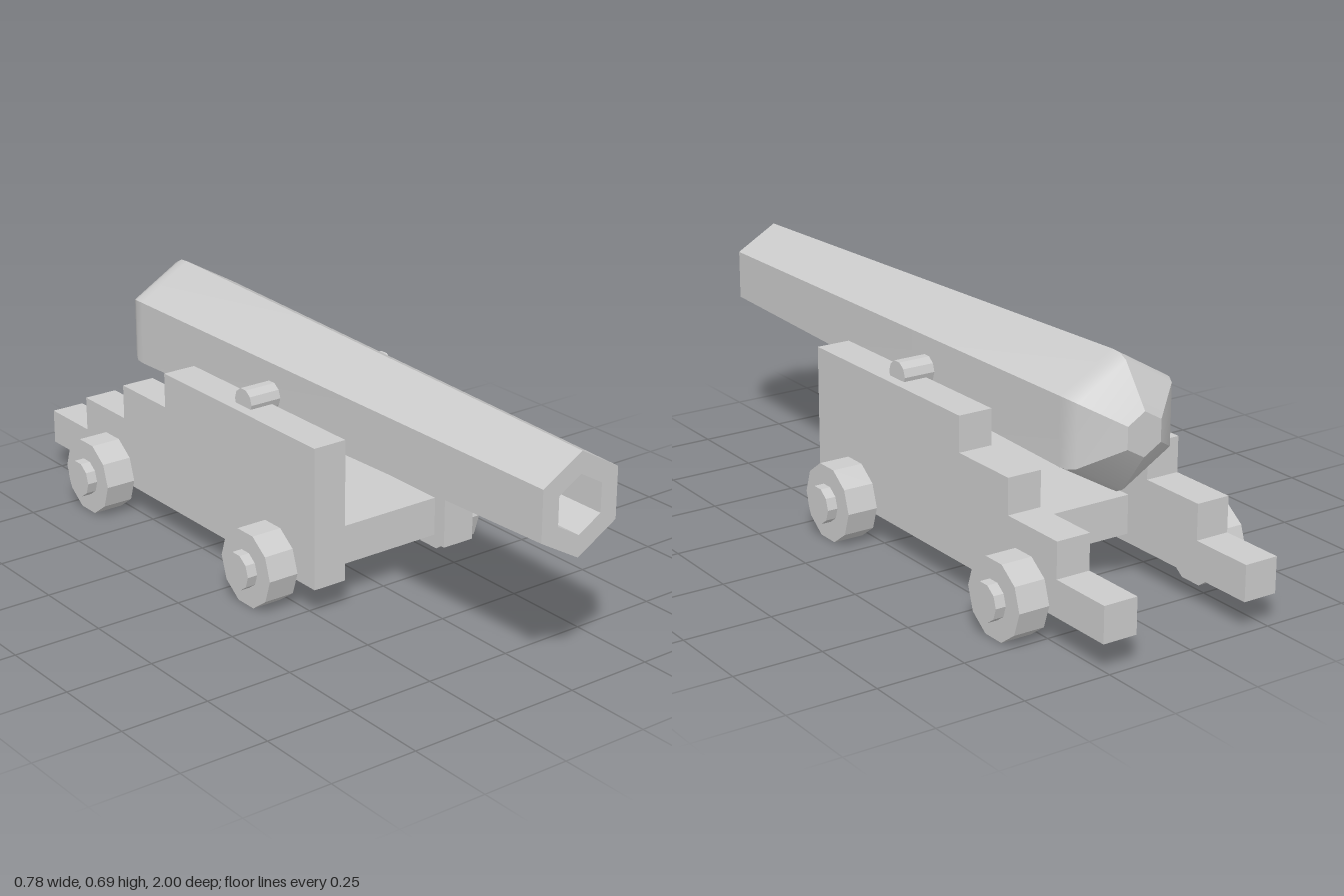
import * as THREE from 'three';
import { toCreasedNormals } from 'three/addons/utils/BufferGeometryUtils.js';

const material = new THREE.MeshStandardMaterial({ color: 0xcccccc });
const flatMaterial = new THREE.MeshStandardMaterial({ color: 0xcccccc, flatShading: true });

function addPart(parent, name, geometry, x, y, z, mat = flatMaterial) {
  const mesh = new THREE.Mesh(geometry, mat);
  mesh.name = name;
  mesh.position.set(x, y, z);
  parent.add(mesh);
  return mesh;
}

// Ten-sided drum lying along x
const drum = (radius, length) =>
  new THREE.CylinderGeometry(radius, radius, length, 10).rotateZ(Math.PI / 2);

// Hexagonal barrel: closed breech, tapering body, muzzle ring and bore
function barrelGeometry() {
  const profile = [
    [0, -0.8], [0.06, -0.8], [0.17, -0.72], [0.183, -0.695], [0.185, -0.665],
    [0.14, 1], [0.08, 1], [0.08, -0.55], [0, -0.55],
  ].map(([r, z]) => new THREE.Vector2(r, z));
  const geometry = new THREE.LatheGeometry(profile, 6).rotateX(Math.PI / 2);
  return toCreasedNormals(geometry, 0.6);
}

// Stepped carriage cheek, drawn as (z, y) and extruded along x
function cheekGeometry(thickness) {
  const outline = [
    [0.3, 0.085], [0.3, 0.485], [-0.39, 0.485], [-0.39, 0.385], [-0.605, 0.385],
    [-0.605, 0.285], [-0.81, 0.285], [-0.81, 0.185], [-1, 0.185], [-1, 0.085],
  ].map(([z, y]) => new THREE.Vector2(-z, y));
  return new THREE.ExtrudeGeometry(new THREE.Shape(outline), {
    depth: thickness, bevelEnabled: false,
  }).translate(0, 0, -thickness / 2).rotateY(Math.PI / 2);
}

export function createModel() {
  const model = new THREE.Group();
  model.name = 'cannon';

  addPart(model, 'barrel', barrelGeometry(), 0, 0.502, 0, material);
  addPart(model, 'trunnion', drum(0.038, 0.48), 0, 0.497, -0.055);
  addPart(model, 'bed', new THREE.BoxGeometry(0.338, 0.11, 0.79), 0, 0.165, -0.135);

  for (const side of [1, -1]) {
    const label = side > 0 ? 'left' : 'right';
    addPart(model, `${label}Cheek`, cheekGeometry(0.1), side * 0.22, 0, 0);

    // Wheels with protruding hubs
    for (const [end, z] of [['Front', 0.115], ['Rear', -0.672]]) {
      const wheel = new THREE.Group();
      wheel.name = `${label}${end}Wheel`;
      wheel.position.set(side * 0.315, 0.105, z);
      addPart(wheel, 'rim', drum(0.11, 0.09), 0, 0, 0);
      addPart(wheel, 'hub', drum(0.053, 0.03), side * 0.06, 0, 0);
      model.add(wheel);
    }
  }
  return model;
}
